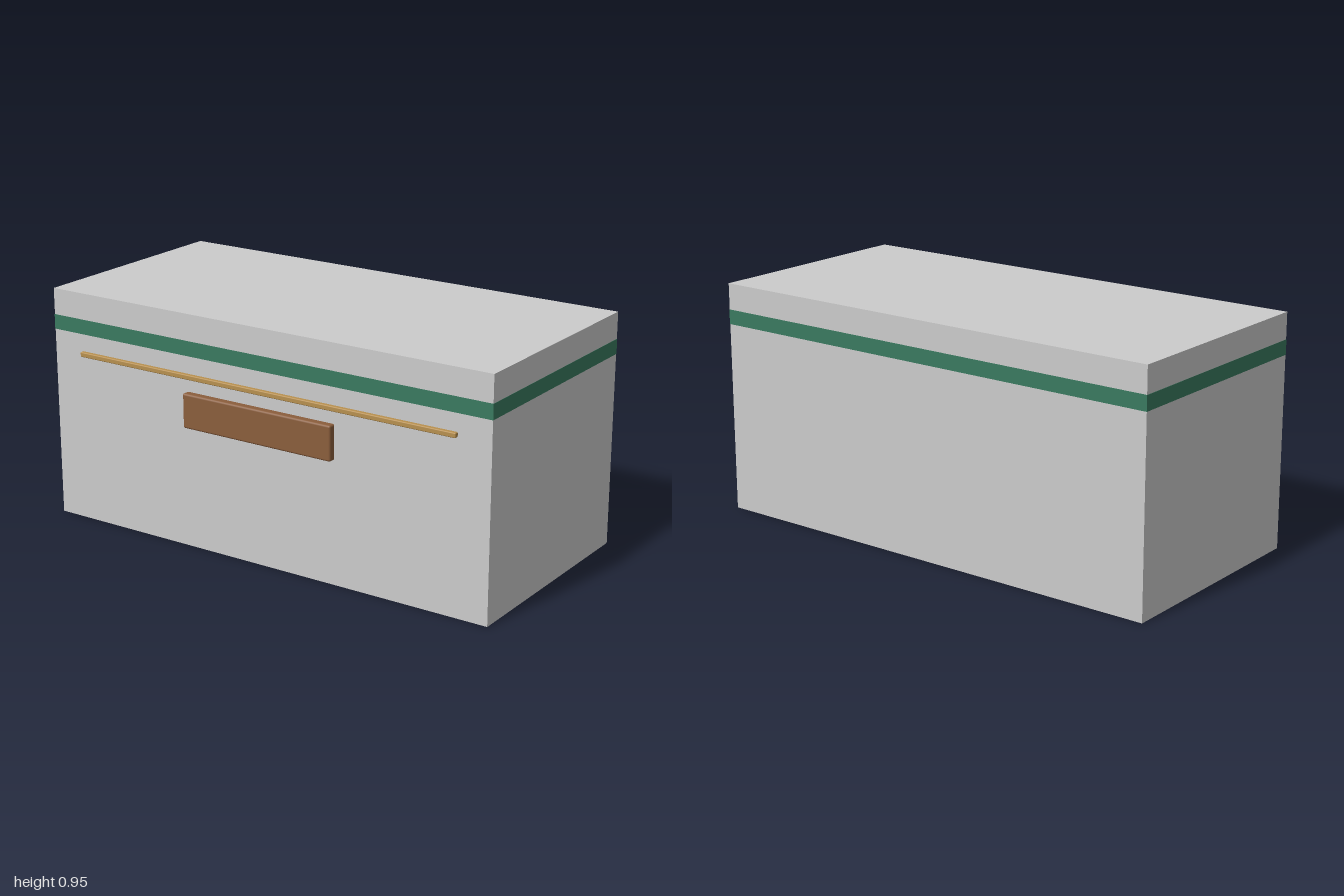
import * as THREE from 'three';
import { RoundedBoxGeometry } from 'three/addons/geometries/RoundedBoxGeometry.js';

// Adds a box spanning min..max on each axis; a radius softens its edges.
function addBox(group, name, color, [x0, x1], [y0, y1], [z0, z1], radius = 0) {
  const size = [x1 - x0, y1 - y0, z1 - z0];
  const geometry = radius
    ? new RoundedBoxGeometry(...size, 2, radius)
    : new THREE.BoxGeometry(...size);
  const mesh = new THREE.Mesh(geometry, new THREE.MeshStandardMaterial({ color }));
  mesh.name = name;
  mesh.position.set((x0 + x1) / 2, (y0 + y1) / 2, (z0 + z1) / 2);
  group.add(mesh);
}

export function createModel() {
  const model = new THREE.Group();
  model.name = 'case';
  const back = -0.487, front = 0.459, lift = 0.001;

  // Main block, lifted a hair so the base panel stays visible
  addBox(model, 'body', 0xcccccc, [-1 + lift, 1 - lift], [lift, 0.947], [back + lift, front - lift]);

  // Thin coloured band around the upper body
  addBox(model, 'upperBand', 0x3a7a60, [-1, 1], [0.78, 0.84], [back, front]);

  // Inset panel on the underside
  addBox(model, 'basePanel', 0x85603f, [-0.91, 0.91], [0, 0.02], [-0.415, 0.352]);

  // Slim trim strip and plaque on the front
  addBox(model, 'frontTrim', 0xb8904f, [-0.86, 0.86], [0.69, 0.71], [0.44, 0.474], 0.004);
  addBox(model, 'frontPlaque', 0x8b5e3c, [-0.34, 0.34], [0.498, 0.638], [0.43, 0.487], 0.008);

  return model;
}
